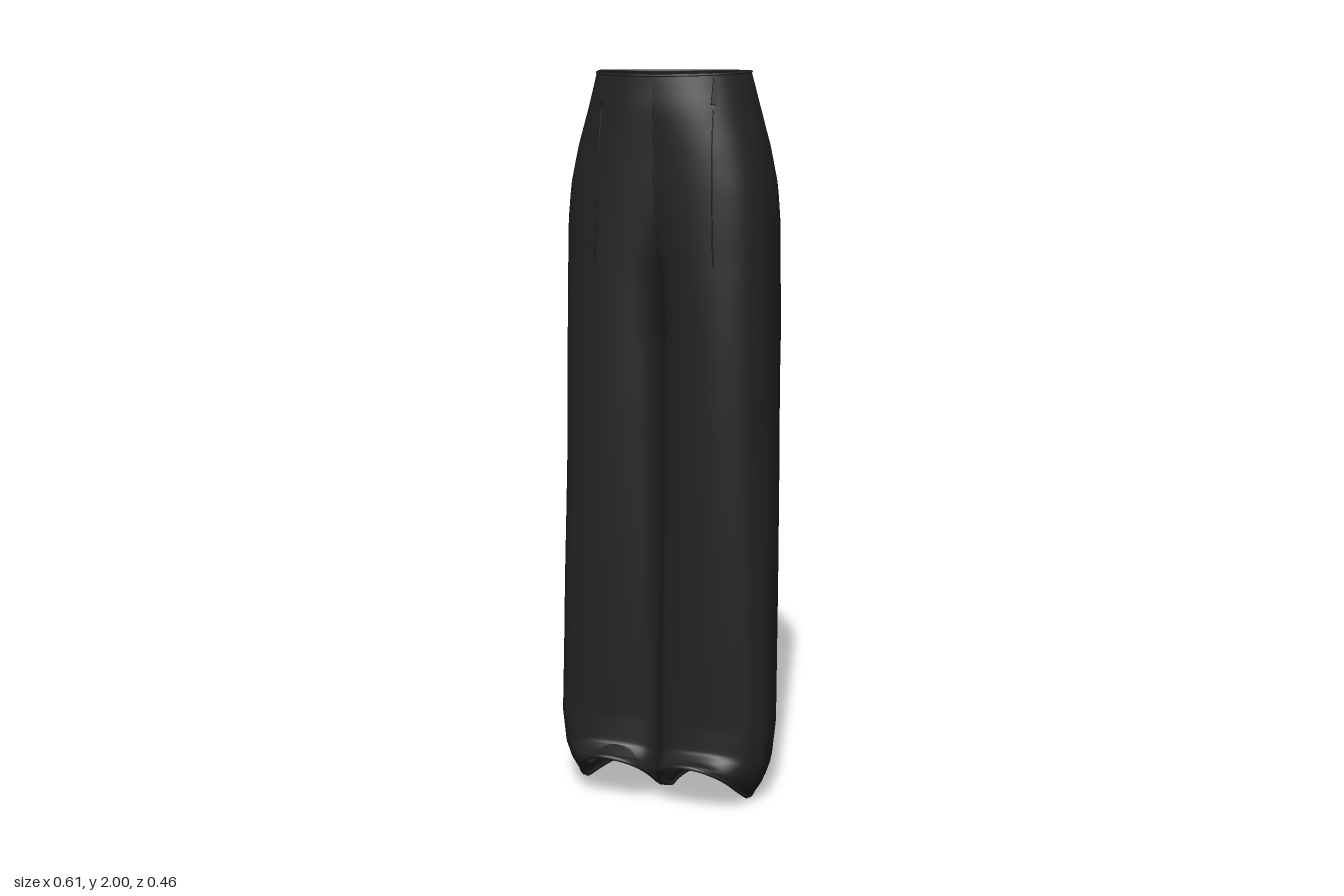
import * as THREE from 'three';
import { mergeVertices } from 'three/addons/utils/BufferGeometryUtils.js';

// Half-body sections: y, centre x, outer x, inner x, centre z, front z, back z, front roundness
const SECTIONS = [
  [0.00, 0.120, 0.238, 0.006, 0.03, 0.225, -0.178, 0.66],
  [0.02, 0.126, 0.254, 0.003, 0.04, 0.220, -0.184, 0.66],
  [0.05, 0.134, 0.274, 0.001, 0.05, 0.196, -0.186, 0.68],
  [0.10, 0.145, 0.293, 0.0005, 0.06, 0.168, -0.187, 0.68],
  [0.20, 0.150, 0.304, 0.0005, 0.06, 0.160, -0.189, 0.66],
  [0.60, 0.150, 0.299, 0.0005, 0.03, 0.160, -0.198, 0.60],
  [1.00, 0.150, 0.292, 0.0005, 0.00, 0.160, -0.206, 0.60],
  [1.15, 0.148, 0.290, 0.001, 0.00, 0.160, -0.211, 0.60],
  [1.30, 0.145, 0.289, 0.005, -0.01, 0.160, -0.217, 0.60],
  [1.45, 0.130, 0.287, 0.001, -0.01, 0.160, -0.224, 0.60],
  [1.50, 0.120, 0.286, -0.010, -0.01, 0.160, -0.227, 0.60],
  [1.60, 0.110, 0.285, -0.050, -0.01, 0.160, -0.231, 0.62],
  [1.70, 0.095, 0.277, -0.100, -0.01, 0.160, -0.232, 0.65],
  [1.80, 0.070, 0.259, -0.120, -0.01, 0.160, -0.208, 0.75],
  [1.90, 0.030, 0.234, -0.170, -0.01, 0.160, -0.176, 0.88],
  [2.00, 0.000, 0.210, -0.210, 0.00, 0.151, -0.157, 1.00],
];

function section(y) {
  let i = 0;
  while (i < SECTIONS.length - 2 && SECTIONS[i + 1][0] < y) i++;
  const a = SECTIONS[i], b = SECTIONS[i + 1];
  const t = (y - a[0]) / (b[0] - a[0]);
  return a.map((v, k) => v + (b[k] - v) * t);
}

// Point on the cloth of the left half; angle 0 is the outer side, PI/2 the front
function cloth(angle, y) {
  const [, cx, xo, xi, cz, zf, zb, round] = section(y);
  const c = Math.cos(angle), s = Math.sin(angle);
  // soft vertical folds that fade towards the hips and the inner leg
  const fade = Math.min(1, Math.max(0, (1.7 - y) / 0.8)) * Math.max(0, c + 0.5);
  const fold = 1 + 0.01 * fade * Math.sin(angle * 9 + 1);
  const x = cx + c * fold * (c > 0 ? xo - cx : cx - xi);
  const front = c < 0 ? round * 0.6 : round;
  const back = c < 0 ? 0.7 : 1;
  const z = s > 0 ? cz + (zf - cz) * Math.pow(s, front) : cz + (zb - cz) * Math.pow(-s, back);
  // the hem is lifted in an arch at the front
  const lift = 0.135 * Math.pow(Math.min(1, Math.max(0, (z - 0.05) / 0.175)), 1.25);
  // the waist dips a little at the front
  const dip = y > 1.9 ? 0.1 * (y - 1.9) * Math.max(0, s) : 0;
  const py = y < 0.4 ? y + lift * (1 - y / 0.4) : y - dip;
  return new THREE.Vector3(Math.max(0, x), py, z);
}

// Turned-up hem inside the leg: folds back under the raised front, deeper on the left
function facing(angle, t, side) {
  const p = cloth(angle, 0.004);
  const s = Math.max(0, Math.sin(angle));
  p.x += (0.125 - p.x) * 0.06 * t;
  p.z -= (side > 0 ? 0.12 : 0.085) * t * Math.pow(s, 1.4);
  p.y += 0.035 * t;
  return p;
}

// Angle on the front or back at a given x
function angleAt(x, y, back = false) {
  const [, cx, xo, xi] = section(y);
  const d = x - cx;
  const a = Math.acos(THREE.MathUtils.clamp(d / (d > 0 ? xo - cx : cx - xi), -1, 1));
  return back ? -a : a;
}

// Mirrored pair of closed sheets from rows of cross-sections
function sheetGeometry(point, rows) {
  const N = 96, pos = [], index = [];
  for (const side of [1, -1]) {
    const base = pos.length / 3;
    for (const row of rows) {
      for (let i = 0; i < N; i++) {
        const p = point((i / N) * Math.PI * 2, row, side);
        pos.push(side * p.x, p.y, p.z);
      }
    }
    for (let j = 0; j < rows.length - 1; j++) {
      for (let i = 0; i < N; i++) {
        const a = base + j * N + i, b = base + j * N + (i + 1) % N;
        const quad = [a, a + N, b + N, b];
        // leave the body open along the middle, above the crotch
        if (quad.every((k) => Math.abs(pos[k * 3]) < 1e-6)) continue;
        const [p, q, r, s] = side > 0 ? quad : quad.slice().reverse();
        index.push(p, q, r, p, r, s);
      }
    }
  }
  const g = new THREE.BufferGeometry();
  g.setAttribute('position', new THREE.Float32BufferAttribute(pos, 3));
  g.setIndex(index);
  const merged = mergeVertices(g, 1e-5);
  merged.computeVertexNormals();
  return merged;
}

export function createModel() {
  const group = new THREE.Group();
  const fabric = new THREE.MeshStandardMaterial({ color: 0x222222, side: THREE.DoubleSide });
  fabric.name = 'black fabric';
  const trim = new THREE.MeshStandardMaterial({ color: 0x161616 });
  trim.name = 'dark stitching';

  const add = (name, geometry, material) => {
    const mesh = new THREE.Mesh(geometry, material);
    mesh.name = name;
    group.add(mesh);
    return mesh;
  };
  // Mirrored cord lying on the cloth; f(t) gives a point for t in 0..1
  const cord = (name, f, radius, material, closed = false, steps = 40) => {
    for (const side of [1, -1]) {
      const pts = [];
      for (let i = 0; i < steps + (closed ? 0 : 1); i++) {
        const p = f(i / steps);
        p.x *= side;
        pts.push(p);
      }
      const curve = new THREE.CatmullRomCurve3(pts, closed);
      add(name + (side > 0 ? 'Left' : 'Right'),
        new THREE.TubeGeometry(curve, steps * 2, radius, 6, closed), material);
    }
  };

  const bodyRows = Array.from({ length: 91 }, (_, j) => 2 * Math.pow(j / 90, 1.5));
  add('trousers', sheetGeometry((angle, y) => cloth(angle, y), bodyRows), fabric);
  add('hemFacing', sheetGeometry(facing, [0, 0.25, 0.5, 0.75, 1]), fabric);

  // Rolled edges
  cord('hem', (t) => {
    const p = cloth(t * Math.PI * 2, 0.004);
    p.y += 0.003;
    return p;
  }, 0.006, fabric, true, 60);
  cord('waistEdge', (t) => cloth(Math.PI * (0.5 - t), 1.996), 0.003, fabric);

  // Seams and pressed pleats
  cord('sideSeam', (t) => {
    const y = 0.05 + 1.85 * t;
    const [, , , , cz, , zb] = section(y);
    return cloth(Math.asin((-0.015 - cz) / (cz - zb)), y);
  }, 0.0015, trim);
  cord('frontPleat', (t) => {
    const y = 1.9 - 0.4 * t;
    return cloth(angleAt(0.155 + 0.01 * t, y), y);
  }, 0.002, trim);
  cord('backPocketWelt', (t) => {
    const y = 1.78 - 0.015 * Math.sin(Math.PI * t);
    return cloth(angleAt(0.1 + 0.12 * t, y, true), y);
  }, 0.002, trim);

  // Belt loops
  const loops = [[0.155, false], [0.165, true], [0, true]];
  for (const [x, back] of loops) {
    for (const side of x ? [1, -1] : [1]) {
      const at = (y) => cloth(angleAt(x, y, back), y);
      const p = at(1.95);
      const tilt = at(1.98).sub(at(1.92)).normalize();
      const out = new THREE.Vector3(p.x / 0.05, 0, p.z / 0.026).normalize();
      if (!x) out.set(0, 0, -1);
      out.addScaledVector(tilt, -out.dot(tilt)).normalize();
      const across = new THREE.Vector3().crossVectors(tilt, out);
      const loop = add('beltLoop', new THREE.BoxGeometry(0.016, 0.07, 0.008), fabric);
      loop.applyMatrix4(new THREE.Matrix4().makeBasis(across, tilt, out));
      loop.position.copy(p).addScaledVector(out, 0.002);
      if (side < 0) {
        loop.position.x *= -1;
        loop.quaternion.set(loop.quaternion.x, -loop.quaternion.y, -loop.quaternion.z, loop.quaternion.w);
      }
    }
  }
  return group;
}
